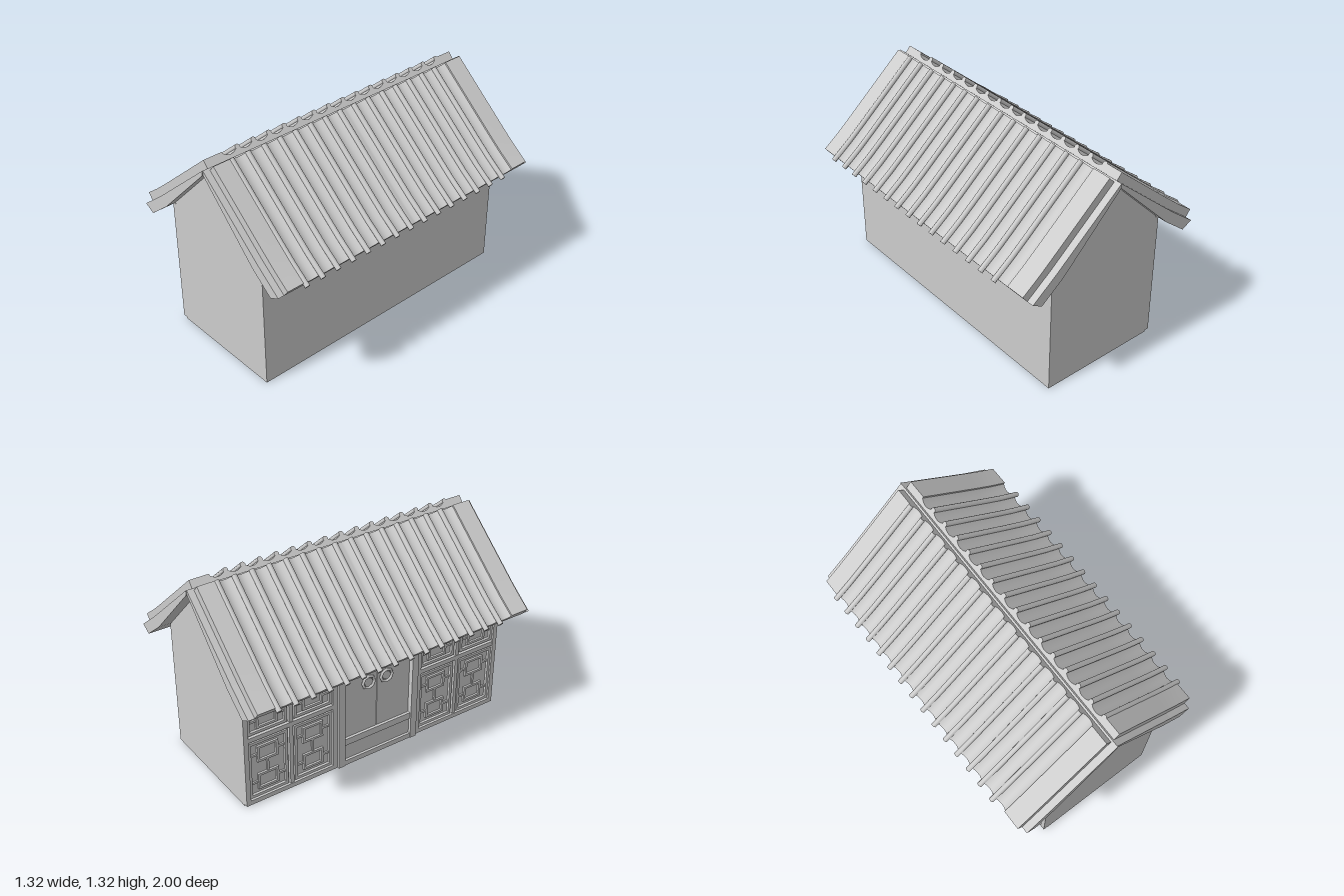
import * as THREE from 'three';
import { toCreasedNormals } from 'three/addons/utils/BufferGeometryUtils.js';

const material = new THREE.MeshStandardMaterial({ color: 0xcccccc });

function add(parent, name, geometry) {
  const mesh = new THREE.Mesh(geometry, material);
  mesh.name = name;
  parent.add(mesh);
  return mesh;
}

// Line of the roof slope in x, y, from ridge to eave, on top of the slab
const slope = [[0.01, 1.271], [0.4, 0.934], [0.5, 0.85], [0.605, 0.77]];

// Sweep a section down the slope; top and bottom are lists of [z, height]
function sweep(top, bottom, overhang = 0) {
  const path = slope.map(([x, y]) => new THREE.Vector2(x, y));
  const last = path[path.length - 1];
  const tail = last.clone().sub(path[path.length - 2]).normalize();
  last.addScaledVector(tail, overhang);
  const ring = [...top, ...[...bottom].reverse()];
  const n = ring.length;
  const positions = [];
  const index = [];
  path.forEach((p, j) => {
    const a = path[Math.max(j - 1, 0)];
    const b = path[Math.min(j + 1, path.length - 1)];
    const d = b.clone().sub(a).normalize();
    ring.forEach(([z, h]) => positions.push(p.x - d.y * h, p.y + d.x * h, z));
  });
  for (let j = 0; j < path.length - 1; j++) {
    for (let i = 0; i < n; i++) {
      const k = (i + 1) % n;
      const a = j * n + i, b = j * n + k, c = a + n, d = b + n;
      index.push(a, b, c, b, d, c);
    }
  }
  // End caps
  const e = (path.length - 1) * n;
  for (let i = 0; i < top.length - 1; i++) {
    const k = i + 1, bi = n - 1 - i, bk = n - 2 - i;
    index.push(i, bi, k, k, bi, bk);
    index.push(e + i, e + k, e + bi, e + k, e + bk, e + bi);
  }
  const g = new THREE.BufferGeometry();
  g.setAttribute('position', new THREE.Float32BufferAttribute(positions, 3));
  g.setIndex(index);
  return toCreasedNormals(g, 0.65);
}

function extrude(points, z0, z1) {
  const shape = new THREE.Shape(points.map(([x, y]) => new THREE.Vector2(x, y)));
  const g = new THREE.ExtrudeGeometry(shape, { depth: z1 - z0, bevelEnabled: false });
  return g.translate(0, 0, z0);
}

function roofSide() {
  const side = new THREE.Group();
  side.name = 'roofSide';
  add(side, 'roofSlab', extrude(
    [[0, 1.25], [0.39, 0.853], [0.54, 0.733], [0.605, 0.77], [0.44, 0.9], [0, 1.28]], -1, 0.995));

  // Flat boards along both gable edges
  for (const z of [-0.955, 0.83]) {
    add(side, 'gableBoard', sweep([[z, 0.052], [z + 0.125, 0.052]], [[z, -0.005], [z + 0.125, -0.005]]));
  }

  // Concave tile rows
  const pitch = 0.1114, start = -0.84, rows = 15, steps = 8;
  const top = [], bottom = [];
  for (let i = 0; i <= rows * steps; i++) {
    const z = start + (i * pitch) / steps;
    const t = (2 * (i % steps)) / steps - 1;
    top.push([z, 0.022 + 0.028 * t * t]);
    bottom.push([z, -0.005]);
  }
  add(side, 'tileRows', sweep(top, bottom));

  // Round ribs between the rows
  for (let i = 1; i <= rows; i++) {
    const arc = (sign) => Array.from({ length: 6 }, (_, k) => {
      const a = Math.PI * (1 - k / 5);
      return [start + i * pitch + 0.016 * Math.cos(a), 0.045 + sign * 0.016 * Math.sin(a)];
    });
    const lower = arc(-1).map(([z, h], k) => (k === 0 || k === 5 ? [z, h - 0.001] : [z, h]));
    add(side, 'tileRib', sweep(arc(1), lower, 0.025));
  }
  return side;
}

// Box standing out from the facade wall, given its centre, size and depth
const wallX = -0.38;
function relief(parent, name, z, y, w, h, depth) {
  const mesh = add(parent, name, new THREE.BoxGeometry(depth + 0.01, h, w));
  mesh.position.set(wallX + 0.005 - depth / 2, y, z);
}

function frame(parent, name, z, y, w, h, bar, depth) {
  for (const s of [-1, 1]) {
    relief(parent, name, z + (s * (w - bar)) / 2, y, bar, h, depth);
    relief(parent, name, z, y + (s * (h - bar)) / 2, w - 2 * bar, bar, depth);
  }
}

// Two columns of lattice panels in two tiers
function windowBay(z0, z1) {
  const bay = new THREE.Group();
  bay.name = 'windowBay';
  const mid = (z0 + z1) / 2, w = z1 - z0;
  frame(bay, 'bayFrame', mid, 0.43, w, 0.84, 0.03, 0.026);
  relief(bay, 'bayMullion', mid, 0.43, 0.025, 0.8, 0.02);
  relief(bay, 'bayRail', mid, 0.465, w - 0.06, 0.03, 0.023);
  for (const s of [-1, 1]) {
    const z = mid + s * (w / 4 - 0.004), pw = w / 2 - 0.055;
    for (const [y, h] of [[0.24, 0.39], [0.655, 0.33]]) {
      frame(bay, 'panelFrame', z, y, pw, h, 0.018, 0.016);
      for (const t of [-1, 1]) {
        const cy = y + t * h * 0.25;
        frame(bay, 'latticeSquare', z, cy, 0.14, 0.11, 0.015, 0.013);
        for (const u of [-1, 1]) {
          relief(bay, 'latticeBar', z + u * (pw / 4 + 0.026), cy, pw / 2 - 0.07, 0.014, 0.01);
        }
      }
      relief(bay, 'latticeTie', z, y, 0.014, h * 0.5 - 0.11, 0.01);
    }
  }
  return bay;
}

function doorway() {
  const door = new THREE.Group();
  door.name = 'doorway';
  const mid = 0.01;
  for (const s of [-1, 1]) {
    relief(door, 'doorJamb', mid + s * 0.27, 0.44, 0.045, 0.86, 0.04);
    relief(door, 'doorLeaf', mid + s * 0.123, 0.46, 0.242, 0.8, 0.012);
    // Faceted ring knocker
    const z = mid + s * 0.066;
    const ring = add(door, 'knockerRing', new THREE.TorusGeometry(0.042, 0.009, 6, 8));
    ring.rotation.y = Math.PI / 2;
    ring.position.set(wallX - 0.019, 0.54, z);
    const boss = add(door, 'knockerPlate', new THREE.CylinderGeometry(0.03, 0.03, 0.012, 8));
    boss.rotation.z = Math.PI / 2;
    boss.position.set(wallX - 0.014, 0.54, z);
  }
  relief(door, 'doorSill', mid, 0.027, 0.5, 0.034, 0.035);
  relief(door, 'doorHead', mid, 0.85, 0.5, 0.04, 0.035);
  relief(door, 'thresholdBar', mid, 0.175, 0.495, 0.045, 0.03);
  relief(door, 'thresholdBoard', mid, 0.1, 0.495, 0.11, 0.02);
  return door;
}

export function createModel() {
  const house = new THREE.Group();
  house.name = 'house';
  add(house, 'walls', extrude(
    [[wallX, 0], [0.4, 0], [0.4, 0.85], [0, 1.255], [wallX, 0.865]], -0.92, 0.94));

  // The two slopes are half a turn apart, so their ribs are staggered
  const left = roofSide();
  const right = roofSide();
  right.rotation.y = Math.PI;
  house.add(left, right);

  house.add(windowBay(-0.92, -0.285), windowBay(0.305, 0.94), doorway());
  return house;
}
